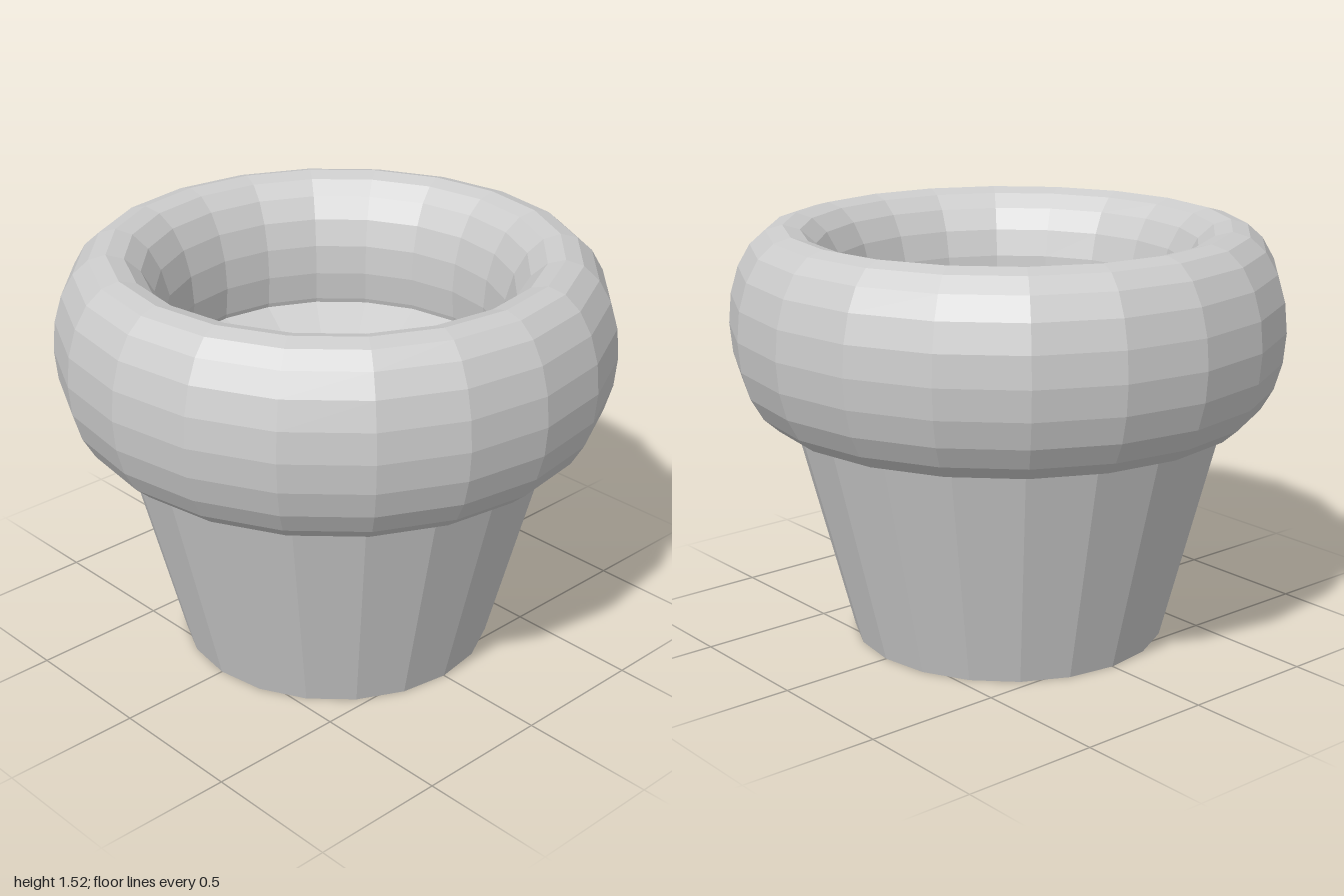
import * as THREE from 'three';

const SIDES = 20;

export function createModel() {
  const group = new THREE.Group();
  const material = new THREE.MeshStandardMaterial({ color: 0xcccccc, flatShading: true });

  // Tapered pot with a shallow funnel-shaped hollow on top
  const profile = [
    [0, 0],
    [0.575, 0],
    [0.872, 1.16],
    [0, 0.77],
  ].map(([r, y]) => new THREE.Vector2(r, y));
  const pot = new THREE.Mesh(new THREE.LatheGeometry(profile, SIDES), material);
  pot.name = 'pot';
  group.add(pot);

  // Thick rounded rim: a ring stretched upwards into an oval section
  const ring = new THREE.TorusGeometry(0.8, 0.2, SIDES, SIDES);
  ring.rotateX(Math.PI / 2);
  ring.scale(1, 1.75, 1);
  ring.translate(0, 1.17, 0);
  const rim = new THREE.Mesh(ring, material);
  rim.name = 'rim';
  group.add(rim);

  return group;
}
